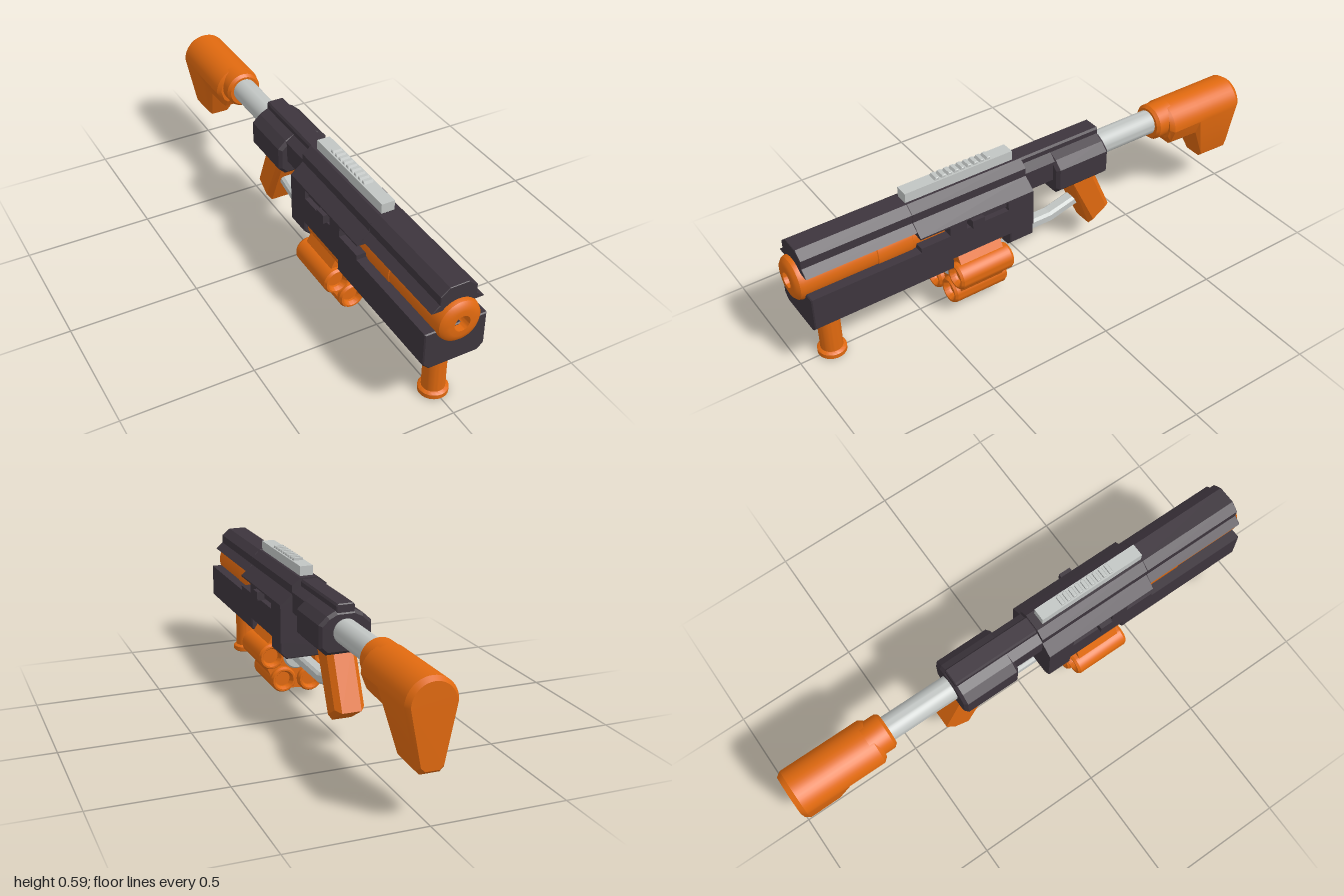
import * as THREE from 'three';
import { toCreasedNormals } from 'three/addons/utils/BufferGeometryUtils.js';

const mat = (name, color) => {
  const m = new THREE.MeshStandardMaterial({ color });
  m.name = name;
  return m;
};

export function createModel() {
  const orange = mat('orange', 0xe0690f);
  const dark = mat('charcoal', 0x3d353d);
  const silver = mat('silver', 0xc1c5c3);
  const purple = mat('deep purple', 0x2a0f3c);
  const model = new THREE.Group();
  model.name = 'toyBlaster';

  const add = (name, geo, material, x = 0, y = 0, z = 0, parent = model) => {
    const m = new THREE.Mesh(geo, material);
    m.name = name;
    m.position.set(x, y, z);
    parent.add(m);
    return m;
  };
  const box = (name, material, w, y0, y1, z0, z1) =>
    add(name, new THREE.BoxGeometry(2 * w, y1 - y0, z1 - z0), material, 0, (y0 + y1) / 2, (z0 + z1) / 2);

  // Mirrored half profile [x, y], bottom to top, extruded from z0 to z1
  const prism = (name, half, z0, z1, bevel = 0.004) => {
    const pts = [...half, ...half.map(([x, y]) => [-x, y]).reverse()];
    const shape = new THREE.Shape(pts.map(p => new THREE.Vector2(...p)));
    const geo = new THREE.ExtrudeGeometry(shape, {
      depth: z1 - z0 - 2 * bevel, bevelEnabled: bevel > 0, bevelSize: bevel,
      bevelThickness: bevel, bevelOffset: -bevel, bevelSegments: 1,
    });
    return add(name, geo, dark, 0, 0, z0 + bevel);
  };

  // Side outline [z, y] extruded symmetrically across x
  const sidePlate = (name, pts, w, bevel, material) => {
    const shape = new THREE.Shape(pts.map(p => new THREE.Vector2(...p)));
    const geo = new THREE.ExtrudeGeometry(shape, {
      depth: 2 * (w - bevel), bevelSize: bevel, bevelThickness: bevel, bevelOffset: -bevel, bevelSegments: 1,
    });
    geo.translate(0, 0, bevel - w).rotateY(-Math.PI / 2);
    return add(name, geo, material);
  };

  // Turned part; alongZ lays its axis on z
  const lathe = (pts, alongZ = true) => {
    const geo = new THREE.LatheGeometry(pts.map(p => new THREE.Vector2(...p)), 40);
    if (alongZ) geo.rotateX(Math.PI / 2);
    return toCreasedNormals(geo, 0.5);
  };

  // Main body, in bands around the barrel slot, side window and drum well
  prism('lowerForeBody', [[0.095, 0.223], [0.119, 0.247], [0.119, 0.378]], 0.41, 0.97);
  prism('slotLowerStep', [[0.119, 0.37], [0.119, 0.397]], 0.42, 0.54, 0);
  prism('lowerRearBody', [[0.095, 0.223], [0.119, 0.247], [0.119, 0.3]], 0.06, 0.163);
  prism('bodyBelt', [[0.119, 0.29], [0.119, 0.4]], 0.06, 0.42, 0);
  prism('windowRearPost', [[0.119, 0.4], [0.119, 0.438]], 0.06, 0.17, 0);
  prism('windowFrontPost', [[0.119, 0.4], [0.119, 0.438]], 0.35, 0.42, 0);
  box('windowCore', purple, 0.09, 0.4, 0.438, 0.17, 0.35);
  prism('upperBody',
    [[0.119, 0.436], [0.119, 0.442], [0.07, 0.482], [0.07, 0.515], [0.036, 0.542]], 0.06, 0.54, 0);
  prism('upperForeBody',
    [[0.1, 0.457], [0.07, 0.482], [0.07, 0.515], [0.036, 0.542]], 0.54, 0.97, 0.002);
  box('boltHandles', dark, 0.136, 0.402, 0.436, 0.285, 0.335);
  box('boltSlide', dark, 0.105, 0.409, 0.43, 0.17, 0.285);

  // Barrel with rounded muzzle and dark bore
  add('barrel', lathe([
    [0.083, 0.4], [0.083, 0.55], [0.086, 0.553], [0.086, 0.69], [0.083, 0.693], [0.083, 0.972],
    [0.079, 0.985], [0.068, 0.995], [0.05, 1], [0.03, 1], [0.03, 0.93],
  ]), orange, 0, 0.402, 0);
  add('bore', new THREE.CircleGeometry(0.031, 32), purple, 0, 0.402, 0.94);

  // Top rail with slanted teeth
  box('topRail', silver, 0.026, 0.535, 0.58, 0.09, 0.54);
  for (let i = 0; i < 9; i++) {
    const z = 0.19 + i * 0.027;
    sidePlate('railTooth', [[z - 0.01, 0.575], [z + 0.011, 0.575], [z + 0.003, 0.59], [z - 0.01, 0.59]],
      0.02, 0.002, silver);
  }

  // Rear receiver
  prism('receiverNeck', [[0.06, 0.4], [0.07, 0.41], [0.07, 0.49], [0.036, 0.512]], -0.1, 0.06, 0);
  prism('receiverBlock',
    [[0.075, 0.35], [0.102, 0.377], [0.102, 0.465], [0.07, 0.495], [0.036, 0.512]], -0.305, -0.065, 0.012);
  prism('receiverRidge', [[0.036, 0.48], [0.036, 0.53], [0.03, 0.538]], -0.3, 0.06);

  // Stock tube and collar
  add('stockTube', lathe([[0.049, -0.62], [0.049, -0.28]]), silver, 0, 0.434, 0);
  add('stockCollar', lathe([[0.072, -0.67], [0.072, -0.592], [0.062, -0.58], [0, -0.58]]), orange, 0, 0.43, 0);

  // Stock: round-topped sections [z, half width, top, bottom, bottom half width]
  const stations = [
    [-0.635, 0.08, 0.493, 0.365, 0.07], [-0.652, 0.094, 0.5, 0.335, 0.072], [-0.785, 0.094, 0.5, 0.328, 0.072],
    [-0.852, 0.094, 0.5, 0.18, 0.05], [-0.98, 0.094, 0.5, 0.175, 0.05], [-1, 0.08, 0.487, 0.19, 0.04],
  ];
  const arc = 20, n = arc + 5, pos = [], idx = [];
  for (const [z, w, top, bottom, wb] of stations) {
    for (let j = 0; j <= arc; j++) {
      const a = (j / arc) * Math.PI;
      pos.push(w * Math.cos(a), top - w + w * Math.sin(a), z);
    }
    pos.push(-wb, bottom + 0.015, z, -wb + 0.015, bottom, z, wb - 0.015, bottom, z, wb, bottom + 0.015, z);
  }
  for (let i = 0; i < stations.length - 1; i++) {
    for (let j = 0; j < n; j++) {
      const a = i * n + j, b = i * n + (j + 1) % n, c = b + n, d = a + n;
      idx.push(a, d, b, b, d, c);
    }
  }
  const last = (stations.length - 1) * n;
  for (let j = 1; j < n - 1; j++) idx.push(0, j, j + 1, last, last + j + 1, last + j);
  const stock = new THREE.BufferGeometry();
  stock.setAttribute('position', new THREE.Float32BufferAttribute(pos, 3));
  stock.setIndex(idx);
  add('stock', toCreasedNormals(stock, 0.35), orange);

  // Rear grip
  sidePlate('rearGrip', [[-0.14, 0.37], [-0.27, 0.37], [-0.366, 0.147], [-0.27, 0.088]], 0.058, 0.02, orange);

  // Front grip
  add('frontGrip', lathe([
    [0, 0], [0.05, 0], [0.054, 0.004], [0.054, 0.021], [0.05, 0.025], [0.042, 0.028], [0.042, 0.198],
    [0.052, 0.201], [0.058, 0.207], [0.058, 0.225],
  ], false), orange, 0, 0, 0.872);

  // Under rod bending up to the grip
  sidePlate('underRod', [
    [0.537, 0.165], [-0.095, 0.165], [-0.24, 0.204], [-0.24, 0.247], [-0.09, 0.21], [0.537, 0.215],
  ], 0.027, 0.01, silver);

  // Six-chamber drum
  const drum = new THREE.Group();
  drum.name = 'drum';
  drum.position.set(0, 0.187, 0.292);
  model.add(drum);
  const ring = (r, count) => Array.from({ length: count }, (_, k) => {
    const a = THREE.MathUtils.degToRad(4) + (k / count) * Math.PI * 2;
    return new THREE.Vector2(r * Math.cos(a), r * Math.sin(a));
  });
  const centres = ring(0.114, 6);
  const web = new THREE.Shape(ring(0.155, 6));
  for (const [c, r] of [...centres.map(c => [c, 0.042]), [new THREE.Vector2(), 0.058]]) {
    web.holes.push(new THREE.Path().absarc(c.x, c.y, r, 0, Math.PI * 2, true));
  }
  add('drumWeb', new THREE.ExtrudeGeometry(web, { depth: 0.184, bevelEnabled: false, curveSegments: 24 }),
    orange, 0, 0, -0.092, drum);
  const h = 0.116;
  const chamber = lathe([
    [0.031, -h + 0.015], [0.039, -h], [0.046, -h], [0.052, -h + 0.01],
    [0.052, h - 0.01], [0.046, h], [0.039, h], [0.031, h - 0.015], [0.031, -h + 0.015],
  ]);
  for (const c of centres) add('drumChamber', chamber, orange, c.x, c.y, 0, drum);
  add('drumHub', lathe([[0, -0.1], [0.052, -0.1], [0.059, -0.092], [0.059, 0.092], [0.052, 0.1], [0, 0.1]]),
    silver, 0, 0, 0, drum);

  return model;
}
